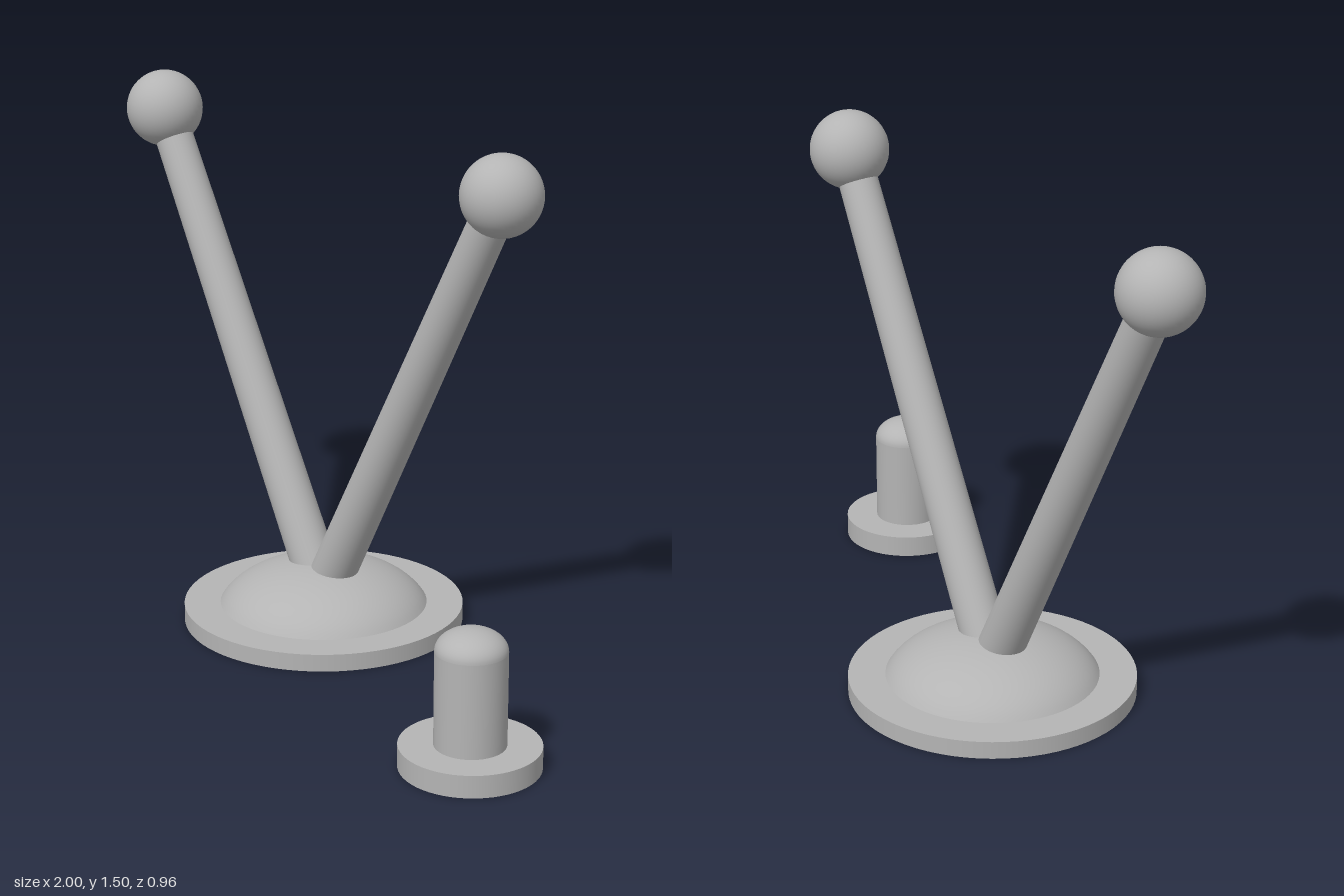
import * as THREE from 'three';

export function createModel() {
  const model = new THREE.Group();
  const grey = new THREE.MeshStandardMaterial({ color: 0xb4b4b4 });
  grey.name = 'plain grey';

  function add(parent, name, geometry, x = 0, y = 0, z = 0) {
    const mesh = new THREE.Mesh(geometry, grey);
    mesh.name = name;
    mesh.position.set(x, y, z);
    parent.add(mesh);
    return mesh;
  }

  // Cap cut from an ellipsoid (radius a, height b), from height cut upwards
  function cap(a, b, cut) {
    const start = Math.asin(cut / b);
    const points = [];
    for (let i = 0; i <= 16; i++) {
      const t = start + (Math.PI / 2 - start) * i / 16;
      points.push(new THREE.Vector2(i === 16 ? 0 : a * Math.cos(t), b * Math.sin(t)));
    }
    return new THREE.LatheGeometry(points, 64);
  }

  // Stand: flat disc with a low dome, and two ball-tipped rods in a V
  const stand = new THREE.Group();
  stand.name = 'antennaStand';
  stand.position.set(-0.19, 0, -0.08);
  model.add(stand);
  add(stand, 'standDisc', new THREE.CylinderGeometry(0.402, 0.402, 0.05, 72), 0, 0.025, 0);
  add(stand, 'standDome', cap(0.316, 0.18, 0.06), 0, -0.01, 0);

  for (const side of [-1, 1]) {
    const label = side > 0 ? 'left' : 'right';
    const foot = new THREE.Vector3(0, 0.07, 0);
    const tip = new THREE.Vector3(side * 0.703, 1.385, 0);
    const along = tip.clone().sub(foot);
    const rod = add(stand, label + 'Rod',
      new THREE.CylinderGeometry(0.055, 0.066, along.length(), 40));
    rod.position.copy(foot).add(tip).multiplyScalar(0.5);
    rod.quaternion.setFromUnitVectors(new THREE.Vector3(0, 1, 0), along.normalize());
    add(stand, label + 'Ball', new THREE.SphereGeometry(0.111, 40, 28), tip.x, tip.y, 0);
  }

  // Separate peg: flanged base, column and rounded top
  const peg = new THREE.Group();
  peg.name = 'peg';
  peg.position.set(0.812, 0, 0.295);
  model.add(peg);
  add(peg, 'pegBase', new THREE.CylinderGeometry(0.187, 0.187, 0.062, 56), 0, 0.031, 0);
  add(peg, 'pegColumn', new THREE.CylinderGeometry(0.095, 0.095, 0.27, 48), 0, 0.185, 0);
  add(peg, 'pegTop', cap(0.095, 0.06, 0), 0, 0.32, 0);

  return model;
}
